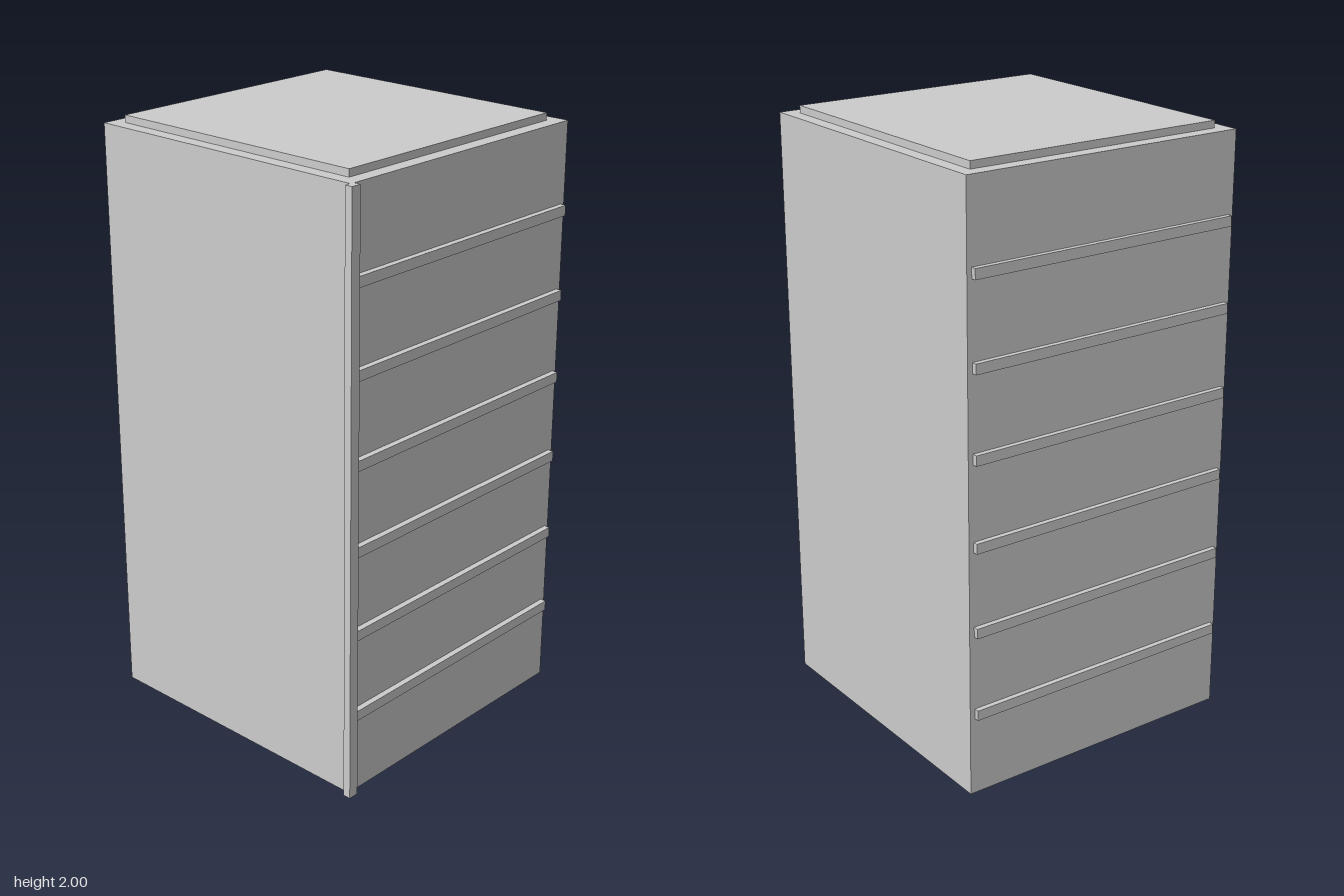
import * as THREE from 'three';

export function createModel() {
  const group = new THREE.Group();
  const concrete = new THREE.MeshStandardMaterial({ color: 0xcccccc });
  concrete.name = 'light grey';

  // Box given by its minimum and maximum corners
  function block(name, [x0, y0, z0], [x1, y1, z1]) {
    const geometry = new THREE.BoxGeometry(x1 - x0, y1 - y0, z1 - z0);
    const mesh = new THREE.Mesh(geometry, concrete);
    mesh.name = name;
    mesh.position.set((x0 + x1) / 2, (y0 + y1) / 2, (z0 + z1) / 2);
    group.add(mesh);
  }

  const height = 1.976, floors = 7;
  const front = 0.512, back = -0.518;

  // Tower body and raised roof slab
  block('body', [-0.492, 0, back], [0.508, height, front]);
  block('roofSlab', [-0.446, height - 0.01, -0.471], [0.462, 2, 0.464]);

  // Full-height strip wrapping the front right corner
  block('cornerStrip', [-0.512, 0, 0.509], [-0.477, height, 0.535]);

  // Ledges at each floor line, front and back
  for (let i = 1; i < floors; i++) {
    const y = (i * height) / floors;
    block('frontLedge' + i, [-0.48, y - 0.017, front - 0.01], [0.491, y + 0.017, 0.532]);
    block('backLedge' + i, [-0.474, y - 0.017, -0.535], [0.491, y + 0.017, back + 0.01]);
  }
  return group;
}
